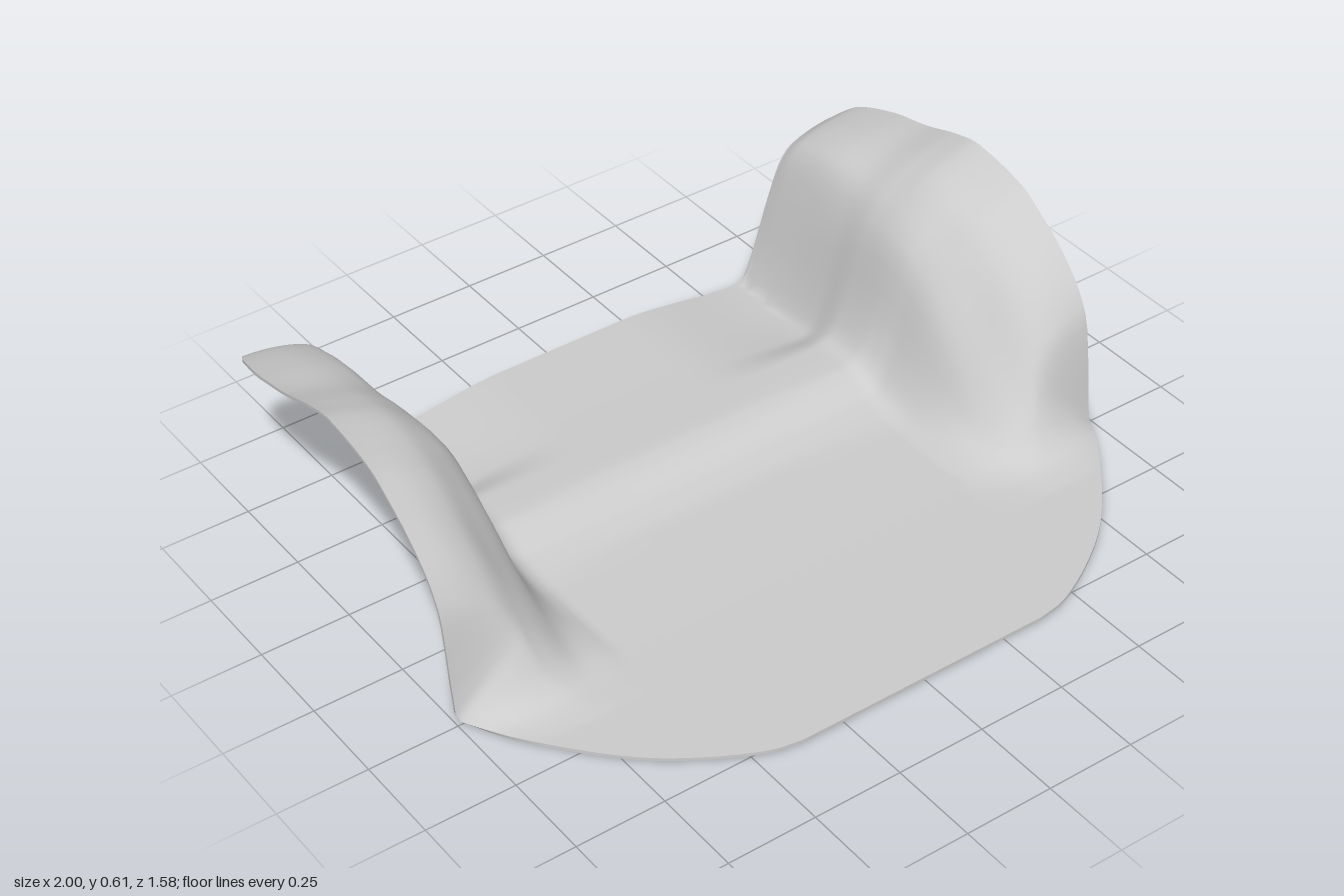
import * as THREE from 'three';

// Smooth curve through [x, y] knots without overshoot
function curve(knots) {
  const n = knots.length;
  const d = [];
  for (let i = 0; i < n - 1; i++) d.push((knots[i + 1][1] - knots[i][1]) / (knots[i + 1][0] - knots[i][0]));
  const m = knots.map((_, i) => {
    const a = d[Math.max(0, i - 1)], b = d[Math.min(n - 2, i)];
    return a * b <= 0 ? 0 : (2 * a * b) / (a + b);
  });
  return (x) => {
    if (x <= knots[0][0]) return knots[0][1];
    if (x >= knots[n - 1][0]) return knots[n - 1][1];
    let i = 0;
    while (x > knots[i + 1][0]) i++;
    const h = knots[i + 1][0] - knots[i][0], t = (x - knots[i][0]) / h;
    const t2 = t * t, t3 = t2 * t;
    return (2 * t3 - 3 * t2 + 1) * knots[i][1] + (t3 - 2 * t2 + t) * h * m[i]
      + (3 * t2 - 2 * t3) * knots[i + 1][1] + (t3 - t2) * h * m[i + 1];
  };
}

const { lerp, smoothstep, clamp } = THREE.MathUtils;
const Z0 = -0.79, Z1 = 0.787, THICK = 0.009;

// Half width of the outline along z
const halfWidth = curve([[-0.79, 0.9], [-0.775, 0.95], [-0.72, 0.98], [-0.57, 1], [0.235, 1], [0.25, 0.993],
  [0.35, 0.935], [0.45, 0.86], [0.56, 0.765], [0.63, 0.69], [0.7, 0.59], [0.75, 0.5], [0.775, 0.44], [0.787, 0.37]]);
// Floor height along z, beside the arches and along the middle
const floorSide = curve([[-0.79, 0.018], [-0.6, 0.022], [-0.47, 0.035], [-0.36, 0.08], [-0.25, 0.083],
  [-0.2, 0.068], [-0.14, 0.035], [0, 0.013], [0.3, 0.01], [0.79, 0.014]]);
const floorMid = curve([[-0.79, 0.065], [-0.5, 0.071], [-0.36, 0.077], [-0.27, 0.08], [-0.22, 0.072],
  [-0.14, 0.033], [-0.05, 0.016], [0.3, 0.01], [0.79, 0.014]]);
// Arch height along z, at the outer rim and further in
const rimY = curve([[-0.79, 0.46], [-0.745, 0.49], [-0.6, 0.53], [-0.48, 0.555], [-0.35, 0.595],
  [-0.27, 0.61], [-0.2, 0.603], [-0.08, 0.576], [0, 0.53], [0.115, 0.44], [0.2, 0.315], [0.243, 0.012]]);
const innerY = curve([[0, 0.53], [0.115, 0.44], [0.2, 0.32], [0.25, 0.22], [0.3, 0.11], [0.35, 0.045], [0.43, 0.01]]);
// Share of the arch height across x: rear, middle and front sections
const rearWall = curve([[0.61, 0], [0.65, 0.22], [0.7, 0.57], [0.745, 0.82], [0.78, 0.9], [0.88, 0.97], [1, 1]]);
const midWall = curve([[0.56, 0], [0.59, 0.03], [0.62, 0.12], [0.65, 0.27], [0.7, 0.61], [0.78, 0.8], [0.85, 0.9], [1, 1]]);
const frontWall = curve([[0.55, 0], [0.65, 0.13], [0.75, 0.46], [0.85, 0.82], [0.93, 0.95], [1, 1]]);

function heightAt(x, z) {
  const a = Math.abs(x);
  const base = lerp(floorMid(z), floorSide(z), smoothstep(a, 0.2, 0.62));
  const inward = clamp((halfWidth(z) - a) / 0.2, 0, 1);
  const arch = z < 0 ? rimY(z) : lerp(rimY(z), innerY(z), inward);
  const rear = lerp(rearWall(a), midWall(a), smoothstep(z, -0.65, -0.25));
  const share = lerp(rear, frontWall(a), smoothstep(z, -0.22, 0.26));
  return base + Math.max(0, arch - base) * share;
}

// Sheet from rows along z and columns across x
function sheet(rows, cols, point, flip) {
  const pos = [], index = [];
  for (let j = 0; j <= rows; j++) for (let i = 0; i <= cols; i++) pos.push(...point(i, j));
  for (let j = 0; j < rows; j++) {
    for (let i = 0; i < cols; i++) {
      const a = j * (cols + 1) + i, b = a + 1, c = a + cols + 1, d = c + 1;
      if (flip) index.push(a, b, c, b, d, c);
      else index.push(a, c, b, b, c, d);
    }
  }
  const g = new THREE.BufferGeometry();
  g.setAttribute('position', new THREE.Float32BufferAttribute(pos, 3));
  g.setIndex(index);
  g.computeVertexNormals();
  return g;
}

export function createModel() {
  const group = new THREE.Group();
  group.name = 'floorPan';
  const mat = new THREE.MeshStandardMaterial({ color: 0xcccccc, side: THREE.DoubleSide });
  const ROWS = 150, COLS = 120;
  const add = (geometry, name) => {
    const mesh = new THREE.Mesh(geometry, mat);
    mesh.name = name;
    group.add(mesh);
  };

  // Upper skin: floor, ridge and both arches in one sheet
  const top = sheet(ROWS, COLS, (i, j) => {
    const z = lerp(Z0, Z1, j / ROWS);
    const x = halfWidth(z) * (2 * i / COLS - 1);
    return [x, heightAt(x, z), z];
  });
  add(top, 'upperSkin');

  // Lower skin, set in along the normals
  const p = top.attributes.position, n = top.attributes.normal;
  const upper = (k) => [p.getX(k), p.getY(k), p.getZ(k)];
  const lower = (k) => [
    clamp(p.getX(k) - n.getX(k) * THICK, -1, 1),
    Math.max(0, p.getY(k) - n.getY(k) * THICK),
    clamp(p.getZ(k) - n.getZ(k) * THICK, Z0, Z1)];
  add(sheet(ROWS, COLS, (i, j) => lower(j * (COLS + 1) + i), true), 'lowerSkin');

  // Thin rim closing the edge all round
  const loop = [];
  for (let i = 0; i < COLS; i++) loop.push(i);
  for (let j = 0; j < ROWS; j++) loop.push(j * (COLS + 1) + COLS);
  for (let i = COLS; i > 0; i--) loop.push(ROWS * (COLS + 1) + i);
  for (let j = ROWS; j >= 0; j--) loop.push(j * (COLS + 1));
  add(sheet(1, loop.length - 1, (i, j) => (j ? lower : upper)(loop[i]), true), 'edgeRim');

  return group;
}
